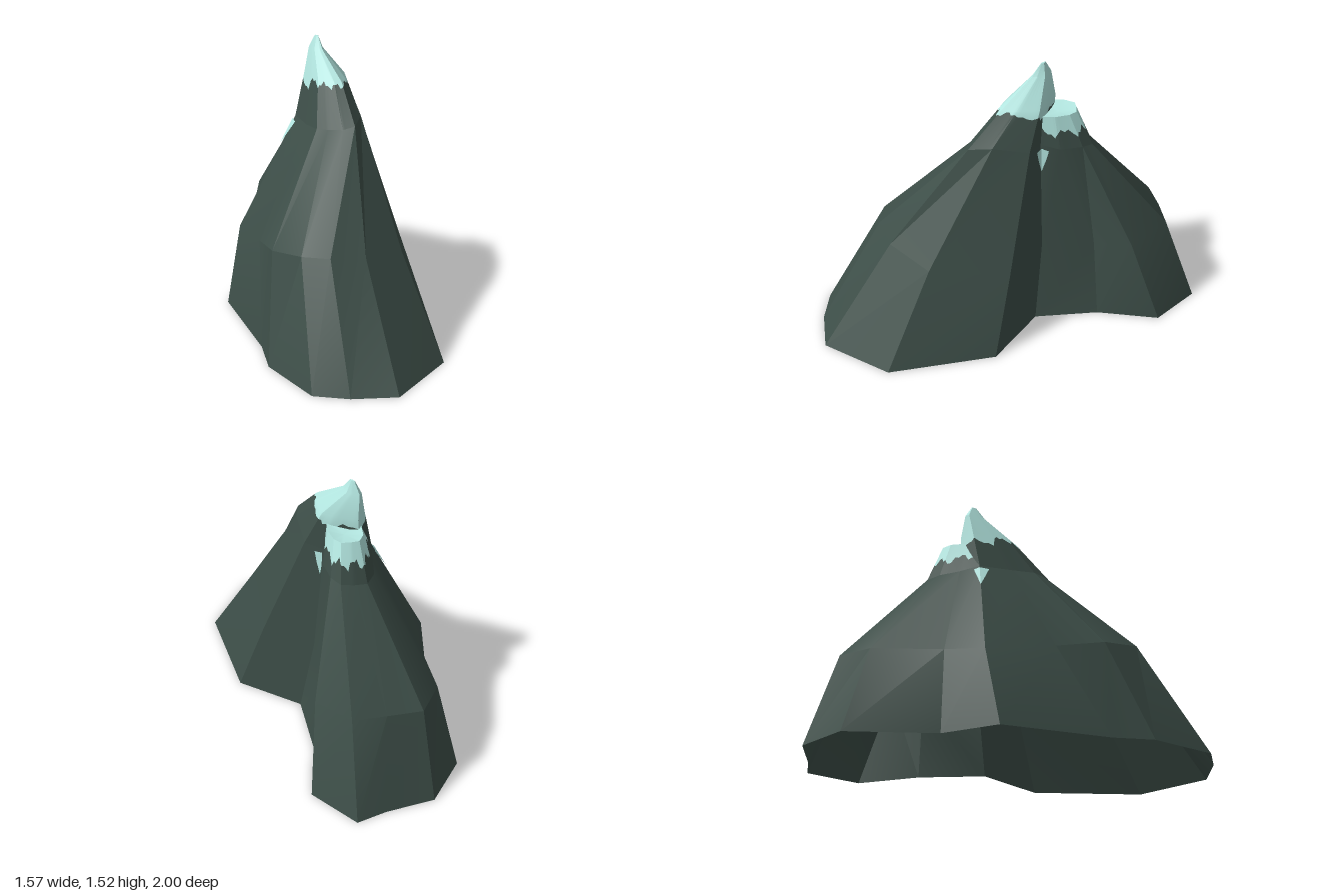
import * as THREE from 'three';
import { toCreasedNormals } from 'three/addons/utils/BufferGeometryUtils.js';

const V = (x, y, z) => new THREE.Vector3(x, y, z);
// The mountain is an open shell, so both sides show
const rock = new THREE.MeshStandardMaterial({ name: 'darkRock', color: 0x3d4e48, side: THREE.DoubleSide });
const snow = new THREE.MeshStandardMaterial({ name: 'paleSnow', color: 0xb6eae4, side: THREE.DoubleSide });

// Ground outline, clockwise from above
const base = [
  [0.41, -1], [0.63, -0.84], [0.78, -0.76], [0.76, -0.45], [0.47, -0.25], [0.23, 0.02],
  [0.29, 0.42], [-0.06, 0.91], [-0.48, 1], [-0.67, 0.85], [-0.79, 0.7], [-0.76, 0.33],
  [-0.65, 0.14], [-0.45, -0.41], [-0.17, -0.56], [0.11, -0.96],
].map(([x, z]) => V(x, 0, z));
// Shoulder, halfway up
const mid = [
  [0.34, 0.51, -0.86], [0.5, 0.53, -0.74], [0.64, 0.54, -0.62], [0.6, 0.5, -0.36],
  [0.39, 0.44, -0.29], [0.2, 0.47, -0.06], [0.25, 0.46, 0.26], [-0.05, 0.52, 0.58],
  [-0.33, 0.57, 0.6], [-0.5, 0.59, 0.52], [-0.59, 0.59, 0.4], [-0.59, 0.55, 0.17],
  [-0.48, 0.5, -0.07], [-0.34, 0.44, -0.42], [-0.14, 0.47, -0.53], [0.12, 0.49, -0.81],
].map((p) => V(...p));
// Saddle line, where the two summits part
const upper = [
  [0.21, 1.05, -0.41], [0.27, 1.06, -0.37], [0.32, 1.07, -0.32], [0.31, 1.08, -0.25],
  [0.24, 1.08, -0.15], [0.15, 1.1, -0.09], [0.17, 1.11, 0.02], [0.04, 1.15, 0.17],
  [-0.07, 1.13, 0.24], [-0.12, 1.11, 0.2], [-0.15, 1.1, 0.12], [-0.17, 1.09, 0.05],
  [-0.13, 1.08, -0.08], [-0.06, 1.08, -0.25], [0.03, 1.06, -0.32], [0.12, 1.05, -0.39],
].map((p) => V(...p));

function mesh(name, points, material) {
  const g = new THREE.BufferGeometry().setFromPoints(points);
  g.computeVertexNormals();
  const m = new THREE.Mesh(toCreasedNormals(g, 0.38), material);
  m.name = name;
  return m;
}

// Skin between successive closed rings of equal length
function loft(rings) {
  const out = [];
  const tri = (a, b, c) => {
    if (V(0, 0, 0).crossVectors(b.clone().sub(a), c.clone().sub(a)).length() > 1e-9) out.push(a, b, c);
  };
  for (let k = 0; k + 1 < rings.length; k++) {
    const lo = rings[k], hi = rings[k + 1], n = lo.length;
    for (let i = 0; i < n; i++) {
      const j = (i + 1) % n;
      tri(lo[j], lo[i], hi[i]);
      tri(lo[j], hi[i], hi[j]);
    }
  }
  return out;
}

// Scale a ring about one centre, move it to another and level it at height y
const levelRing = (ring, [cx, cz], [nx, nz], sx, sz, y) =>
  ring.map((p) => V(nx + (p.x - cx) * sx, y, nz + (p.z - cz) * sz));

// Extra points along every side, for the ragged snow line
const refine = (ring, n = 5) => ring.flatMap((p, i) =>
  Array.from({ length: n }, (_, k) => p.clone().lerp(ring[(i + 1) % ring.length], k / n)));

const ragged = (lo, hi, level, depth) => lo.map((p, i) => {
  const wave = 0.5 + 0.3 * Math.sin(i * 0.9) + 0.2 * Math.sin(i * 2.3 + 1);
  return p.clone().lerp(hi[i], level(p) - depth * wave);
});

// One summit: rock skirt below the snow line, snow cap above
function summit(name, rings, level, depth) {
  const g = new THREE.Group();
  g.name = name;
  const [lo, ...rest] = rings.map((r) => refine(r));
  const line = ragged(lo, rest[0], level, depth);
  g.add(mesh(name + 'Rock', loft([lo, line]), rock));
  g.add(mesh(name + 'Snow', loft([line, ...rest]), snow));
  return g;
}

// Point on the upper slope: column u (fractional), height fraction t
function slopePoint(u, t, shift) {
  const i = Math.floor(u), f = u - i;
  const a = mid[i].clone().lerp(upper[i], t);
  const b = mid[i + 1].clone().lerp(upper[i + 1], t);
  return a.lerp(b, f).add(shift);
}

// Small tapering snow patch lying on the slope around a column
function snowPatch(name, column, width, shift) {
  const top = slopePoint(column, 0.97, shift), tip = slopePoint(column, 0.75, shift);
  const pts = [];
  for (const s of [-1, 1]) {
    const a = slopePoint(column + s * width, 0.96, shift);
    const b = slopePoint(column + s * width * 0.5, 0.86, shift);
    pts.push(...(s < 0 ? [top, a, b, top, b, tip] : [top, b, a, top, tip, b]));
  }
  return mesh(name, pts, snow);
}

export function createModel() {
  const model = new THREE.Group();
  model.name = 'mountain';
  model.add(mesh('slopes', loft([base, mid, upper]), rock));

  // Sharp front peak
  const peak = [...upper.slice(5, 14), V(0.08, 1.08, -0.28)];
  const c = [0, -0.03];
  model.add(summit('sharpPeak', [
    peak,
    levelRing(peak, c, [0.045, -0.11], 0.62, 0.63, 1.32),
    levelRing(peak, c, [0.055, -0.2], 0.19, 0.23, 1.455),
    levelRing(peak, c, [0.06, -0.205], 0.04, 0.06, 1.52),
    levelRing(peak, c, [0.06, -0.205], 0, 0, 1.52),
  ], (p) => (p.x > 0.1 || p.z < -0.1 ? 0.85 : 1), 0.18));

  // Flat-topped rear peak
  const rear = [...upper.slice(13), ...upper.slice(0, 6)];
  const rc = [0.175, -0.26];
  model.add(summit('flatPeak', [
    rear,
    levelRing(rear, rc, [0.155, -0.225], 0.62, 0.72, 1.267),
    levelRing(rear, rc, [0.155, -0.225], 0, 0, 1.25),
  ], () => 0.65, 0.35));

  // Snow left in the gullies below the saddle
  model.add(snowPatch('leftGullySnow', 5, 0.36, V(0.007, 0, 0.003)));
  model.add(snowPatch('rightGullySnow', 13, 0.28, V(-0.005, 0.002, -0.005)));
  return model;
}
